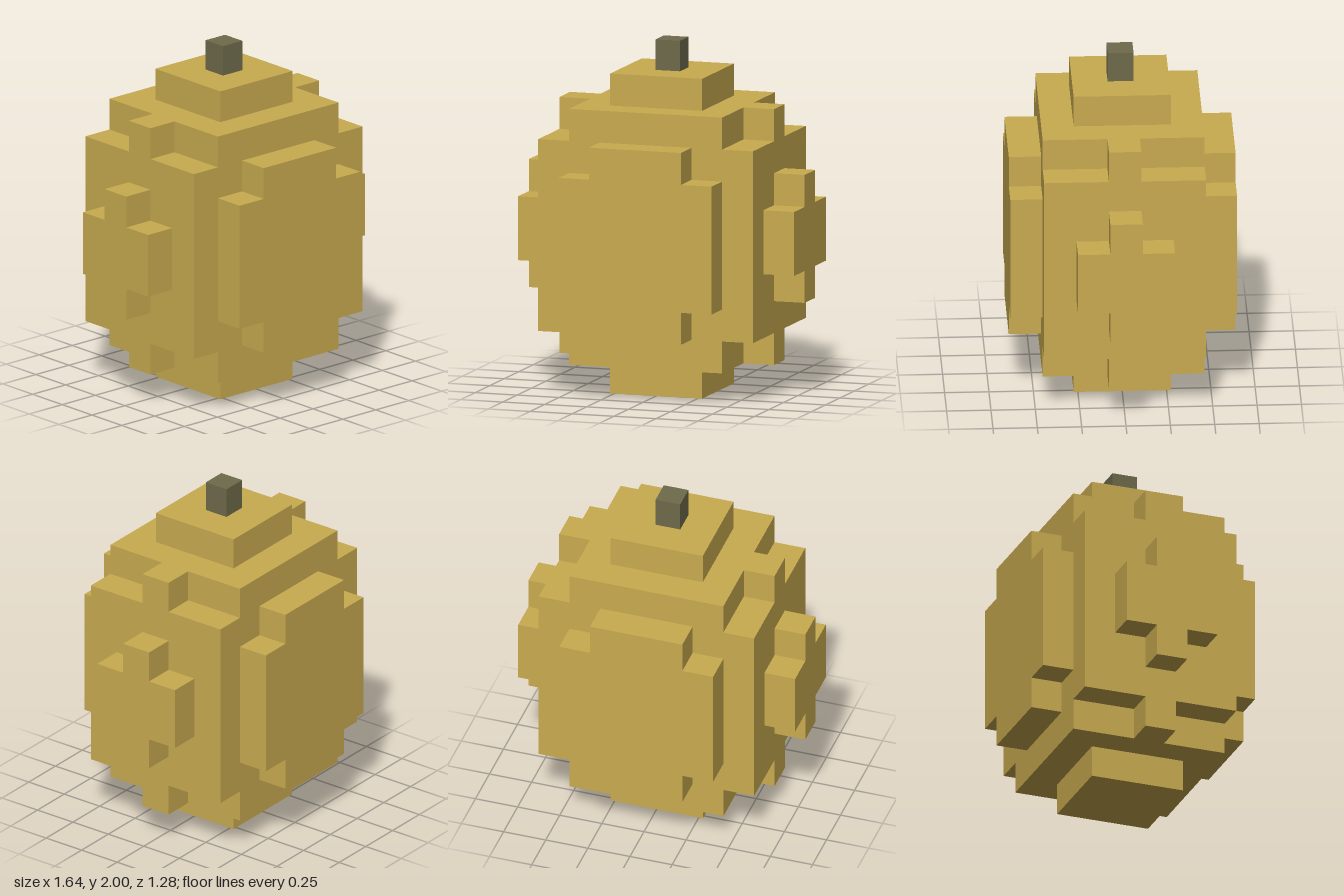
import * as THREE from 'three';

const U = 0.1826; // one block
const MID = 5 * U; // height of the body's centre

// Stepped plus outline, one block thick: half sizes (wide x low) joined with (narrow x tall), in blocks
function stepped(wide, low, narrow, tall) {
  const quarter = [[wide, low], [narrow, low], [narrow, tall]];
  const flip = (sx, sy) => quarter.map(([x, y]) => new THREE.Vector2(x * sx * U, y * sy * U));
  const outline = [...flip(1, 1), ...flip(-1, 1).reverse(), ...flip(-1, -1), ...flip(1, -1).reverse()];
  return new THREE.ExtrudeGeometry(new THREE.Shape(outline), { depth: U, bevelEnabled: false });
}

export function createModel() {
  const model = new THREE.Group();
  const skin = new THREE.MeshStandardMaterial({ color: 0xc9ab50 });
  skin.name = 'golden skin';
  const wood = new THREE.MeshStandardMaterial({ color: 0x6e6a4b });
  wood.name = 'olive stem';

  const add = (name, geometry, material, x, y, z) => {
    const mesh = new THREE.Mesh(geometry, material);
    mesh.name = name;
    mesh.position.set(x, y, z);
    model.add(mesh);
    return mesh;
  };

  // Main block
  add('body', new THREE.BoxGeometry(7 * U, 6 * U, 5 * U), skin, 0, MID, 0);

  // Shoulder layers and end caps, above and below
  const shoulder = stepped(3.5, 0.5, 2.5, 2.5).rotateX(-Math.PI / 2);
  const cap = new THREE.BoxGeometry(3 * U, U, 3 * U);
  add('upperShoulder', shoulder, skin, 0, 8 * U, 0);
  add('lowerShoulder', shoulder, skin, 0, U, 0);
  add('topCap', cap, skin, 0, 9.5 * U, 0);
  add('bottomCap', cap, skin, 0, 0.5 * U, 0);

  // Raised plates on the front and back
  const face = stepped(2.5, 2, 1.5, 3);
  add('frontPlate', face, skin, 0, MID, 2.5 * U);
  add('backPlate', face, skin, 0, MID, -2.5 * U).rotation.y = Math.PI;

  // Smaller raised plates on the sides
  const side = stepped(1.5, 1, 0.5, 2);
  add('leftPlate', side, skin, 3.5 * U, MID, 0).rotation.y = Math.PI / 2;
  add('rightPlate', side, skin, -3.5 * U, MID, 0).rotation.y = -Math.PI / 2;

  // Stem
  const stemHeight = 2 - 10 * U;
  add('stem', new THREE.BoxGeometry(0.8 * U, stemHeight, 0.8 * U), wood, 0, 2 - stemHeight / 2, 0);

  return model;
}
